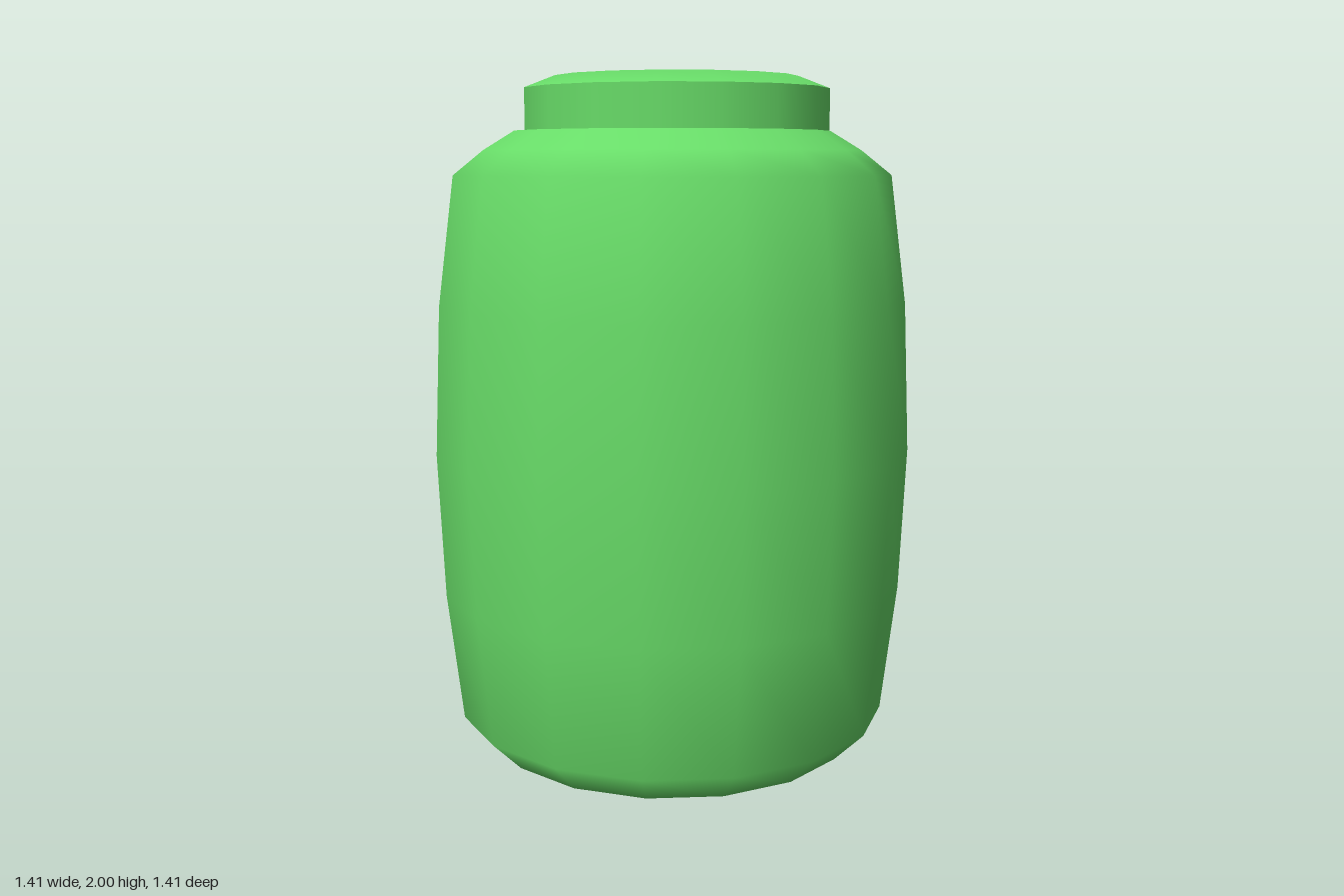
import * as THREE from 'three';

const SIDES = 16;

export function createModel() {
  const model = new THREE.Group();
  const green = new THREE.MeshStandardMaterial({ color: 0x68dc68 });

  // Turns a [radius, height] profile; separate profiles keep a sharp edge between them
  const turned = (name, profile, parent) => {
    const points = profile.map(([r, y]) => new THREE.Vector2(r, y));
    const mesh = new THREE.Mesh(new THREE.LatheGeometry(points, SIDES), green);
    mesh.name = name;
    parent.add(mesh);
  };

  // Barrel-shaped body with a rounded base and shoulder
  const body = new THREE.Group();
  body.name = 'body';
  turned('bodyWall', [
    [0, 0], [0.46, 0.005], [0.55, 0.03], [0.64, 0.12], [0.685, 0.5], [0.703, 0.92],
    [0.685, 1.35], [0.637, 1.72], [0.55, 1.79], [0.46, 1.845],
  ], body);
  turned('bodyTop', [[0.46, 1.845], [0, 1.845]], body);
  model.add(body);

  // Lid, set slightly towards the back
  const lid = new THREE.Group();
  lid.name = 'lid';
  lid.position.z = -0.017;
  turned('lidWall', [[0.445, 1.84], [0.445, 1.965]], lid);
  turned('lidTop', [[0.445, 1.965], [0.355, 2], [0, 2]], lid);
  model.add(lid);

  return model;
}
